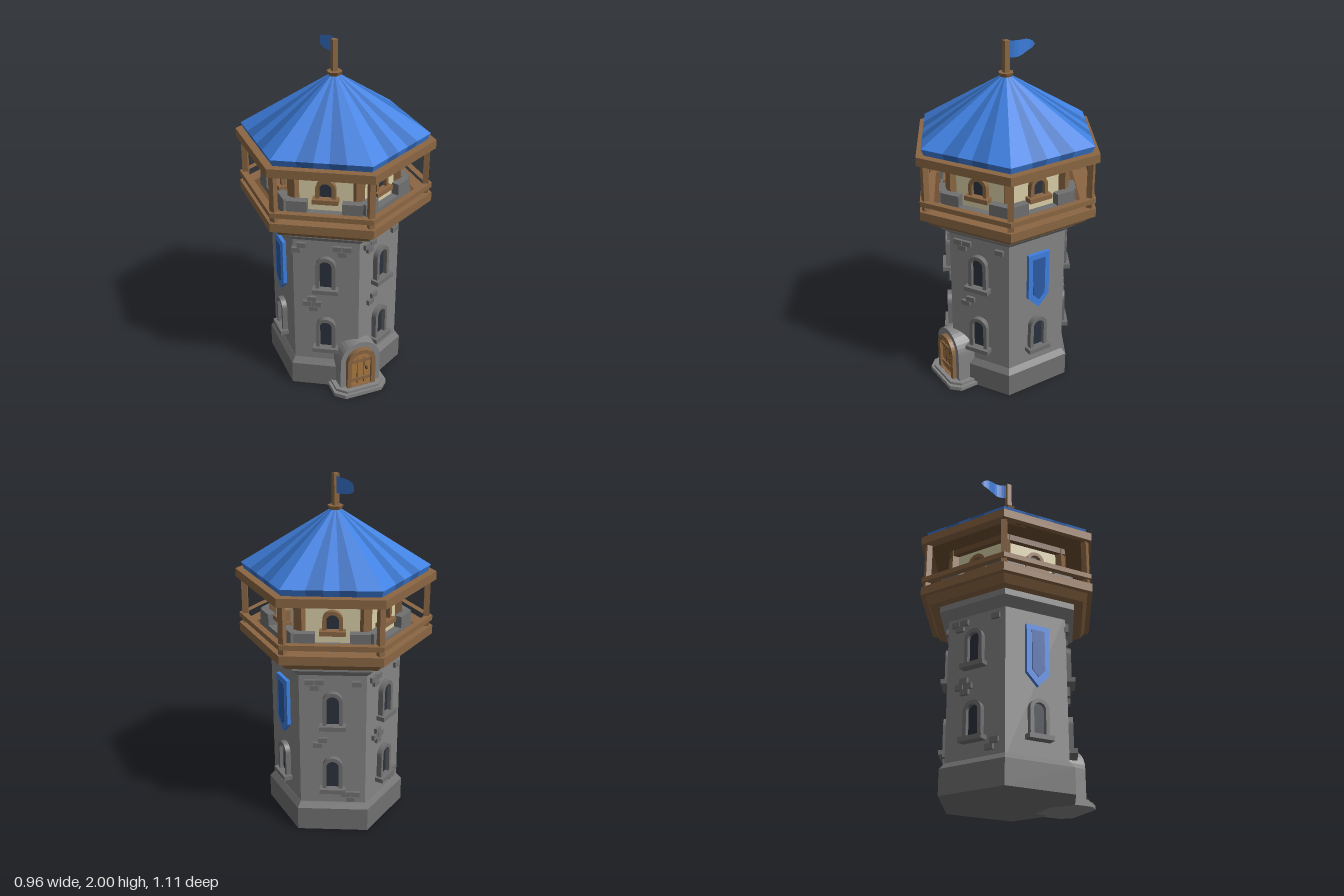
import * as THREE from 'three';

const mat = (color, side = THREE.FrontSide) => new THREE.MeshStandardMaterial({ color, side, flatShading: true });
const M = {
  stone: mat(0x848484), darkStone: mat(0x707070), wood: mat(0x8a6643), darkWood: mat(0x6e4f33),
  door: mat(0xa87840), cream: mat(0xd8cea6), glass: mat(0x2b323e), metal: mat(0x4a3a2a),
  blue: mat(0x3f80e0), midBlue: mat(0x346cbc), navy: mat(0x2c5ba4), flag: mat(0x3b7bd8, THREE.DoubleSide),
};
const C30 = Math.cos(Math.PI / 6);

function add(parent, name, geo, material, x = 0, y = 0, z = 0) {
  const m = new THREE.Mesh(geo, material);
  m.name = name;
  m.position.set(x, y, z);
  parent.add(m);
  return m;
}
const box = (p, name, w, h, d, m, x, y, z) => add(p, name, new THREE.BoxGeometry(w, h, d), m, x, y, z);

// Solid hexagonal slab, sizes given from the axis to the flat sides
function hex(p, name, bottom, top, y0, y1, m) {
  return add(p, name, new THREE.CylinderGeometry(top / C30, bottom / C30, y1 - y0, 6), m, 0, (y0 + y1) / 2, 0);
}

function hexPath(apothem, Type) {
  const s = new Type();
  for (let i = 0; i < 6; i++) {
    const a = i * Math.PI / 3, r = apothem / C30;
    s[i ? 'lineTo' : 'moveTo'](Math.sin(a) * r, Math.cos(a) * r);
  }
  s.closePath();
  return s;
}
function hexRing(p, name, outer, inner, y0, y1, m) {
  const s = hexPath(outer, THREE.Shape);
  s.holes.push(hexPath(inner, THREE.Path));
  const g = new THREE.ExtrudeGeometry(s, { depth: y1 - y0, bevelEnabled: false });
  return add(p, name, g.rotateX(-Math.PI / 2), m, 0, y0, 0);
}

// Round-topped outline standing on y = 0
function archPath(w, h, Type, y0 = 0) {
  const s = new Type();
  s.moveTo(-w, y0);
  s.lineTo(w, y0);
  s.lineTo(w, h - w);
  s.absarc(0, h - w, w, 0, Math.PI, false);
  s.closePath();
  return s;
}
function arch(p, name, w, h, depth, m, y, z, hole) {
  const s = archPath(w, h, THREE.Shape);
  if (hole) s.holes.push(archPath(hole, h - w + hole, THREE.Path, 0.004));
  const g = new THREE.ExtrudeGeometry(s, { depth, bevelEnabled: false, curveSegments: 8 });
  return add(p, name, g, m, 0, y, z);
}

function archWindow(p, name, y, z, w, h, m) {
  const g = new THREE.Group();
  g.name = name;
  g.position.set(0, y, z);
  p.add(g);
  arch(g, 'windowFrame', w, h, 0.04, m, 0, -0.01, w * 0.62);
  arch(g, 'windowGlass', w * 0.7, h - w * 0.3, 0.012, M.glass, 0, -0.005);
  box(g, 'windowSill', w * 2.6, 0.026, 0.06, m, 0, 0.005, 0.02);
}

// Raised bricks: 1 = single, 2 = pair, 3 = two over one, 4 = cross
function bricks(p, u, y, kind) {
  const layouts = {
    1: [[0, 0]], 2: [[0.015, 0.016], [-0.015, -0.016]],
    3: [[-0.027, 0.016], [0.027, 0.016], [0, -0.016]],
    4: [[0, 0.032], [-0.027, 0], [0.027, 0], [0.008, -0.032]],
  };
  for (const [dx, dy] of layouts[kind]) box(p, 'raisedBrick', 0.05, 0.03, 0.03, M.darkStone, u + dx, y + dy, 0.322);
}

function banner(p) {
  const pennant = (name, w, top, side, tip, depth, m) => {
    const s = new THREE.Shape([[-w, top], [-w, side], [0, tip], [w, side], [w, top]].map(a => new THREE.Vector2(...a)));
    add(p, name, new THREE.ExtrudeGeometry(s, { depth, bevelEnabled: false }), m, 0, 0, 0.315);
  };
  pennant('banner', 0.068, 0.89, 0.615, 0.545, 0.026, M.blue);
  pennant('bannerPanel', 0.038, 0.86, 0.635, 0.595, 0.03, M.navy);
}

// Striped hexagonal roof with a short eave band
function roof(p) {
  const fractions = [0, 0.25, 0.42, 0.58, 0.75, 1];
  const lists = [[], []];
  const corner = (i, r, y) => new THREE.Vector3(Math.sin(i * Math.PI / 3) * r, y, Math.cos(i * Math.PI / 3) * r);
  for (let i = 0; i < 6; i++) for (let k = 0; k < 5; k++) {
    const at = (f, r, y) => corner(i, r, y).lerp(corner(i + 1, r, y), f);
    const levels = [[0.505, 1.465], [0.522, 1.505], [0.015, 1.82]];
    for (let l = 0; l < 2; l++) {
      const a = at(fractions[k], ...levels[l]), b = at(fractions[k + 1], ...levels[l]);
      const c = at(fractions[k + 1], ...levels[l + 1]), d = at(fractions[k], ...levels[l + 1]);
      for (const v of [a, b, c, a, c, d]) lists[k % 2].push(v.x, v.y, v.z);
    }
  }
  lists.forEach((list, i) => {
    const g = new THREE.BufferGeometry();
    g.setAttribute('position', new THREE.Float32BufferAttribute(list, 3));
    g.computeVertexNormals();
    add(p, i ? 'roofDarkStripes' : 'roofLightStripes', g, i ? M.midBlue : M.blue);
  });
}

// Waving pointed flag trailing to the back
function flag(p) {
  const g = new THREE.PlaneGeometry(1, 1, 12, 2), pos = g.attributes.position;
  for (let i = 0; i < pos.count; i++) {
    const t = pos.getX(i) + 0.5, half = 0.046 * Math.sqrt(Math.max(0, 1 - t ** 2.2));
    pos.setXYZ(i, 0.018 * Math.sin(t * 5.6) * (1 - 0.2 * t), 1.95 + pos.getY(i) * 2 * half, -0.012 - 0.178 * t);
  }
  g.computeVertexNormals();
  add(p, 'flag', g, M.flag);
}

function doorway(p) {
  const step = (w, front, y0, y1) => {
    const s = new THREE.Shape([[-w, -0.3], [-w, -front + 0.05], [-w + 0.05, -front], [w - 0.05, -front], [w, -front + 0.05], [w, -0.3]]
      .map(a => new THREE.Vector2(...a)));
    const g = new THREE.ExtrudeGeometry(s, { depth: y1 - y0, bevelEnabled: false });
    add(p, 'doorStep', g.rotateX(-Math.PI / 2), M.stone, 0, y0, 0);
  };
  step(0.163, 0.465, 0, 0.024);
  step(0.148, 0.452, 0.024, 0.04);
  arch(p, 'doorSurround', 0.122, 0.335, 0.16, M.stone, 0, 0.225);
  arch(p, 'doorSurroundRim', 0.122, 0.3, 0.022, M.stone, 0.035, 0.383, 0.09);
  arch(p, 'doorFrame', 0.087, 0.257, 0.045, M.wood, 0.038, 0.382, 0.062);
  arch(p, 'door', 0.066, 0.236, 0.025, M.door, 0.038, 0.384);
  for (const x of [-0.021, 0.021]) box(p, 'plankGap', 0.004, 0.18, 0.004, M.metal, x, 0.14, 0.409);
  for (const y of [0.085, 0.215]) box(p, 'doorBrace', 0.118, 0.022, 0.012, M.wood, 0, y, 0.411);
  add(p, 'doorKnob', new THREE.SphereGeometry(0.01, 8, 6), M.metal, 0.036, 0.155, 0.416);
}

export function createModel() {
  const tower = new THREE.Group();
  tower.name = 'watchtower';

  // Stone shaft
  hex(tower, 'base', 0.347, 0.347, 0, 0.14, M.darkStone);
  hex(tower, 'baseChamfer', 0.347, 0.322, 0.14, 0.172, M.darkStone);
  hex(tower, 'shaft', 0.32, 0.32, 0.15, 1.0, M.stone);
  hex(tower, 'shaftFlare', 0.32, 0.37, 0.975, 1.02, M.stone);
  hex(tower, 'shaftCap', 0.37, 0.37, 1.02, 1.06, M.stone);

  // Balcony
  hex(tower, 'balconyUnderside', 0.42, 0.445, 1.055, 1.1, M.wood);
  hexRing(tower, 'balconyEdge', 0.472, 0.4, 1.1, 1.15, M.wood);
  hex(tower, 'balconyFloor', 0.44, 0.44, 1.1, 1.135, M.darkWood);
  hexRing(tower, 'railing', 0.47, 0.435, 1.182, 1.21, M.wood);
  hexRing(tower, 'parapet', 0.37, 0.325, 1.13, 1.17, M.darkStone);

  // Upper room and roof supports
  hex(tower, 'roomWalls', 0.3, 0.3, 1.13, 1.42, M.cream);
  hexRing(tower, 'roomTopBeam', 0.33, 0.29, 1.385, 1.425, M.darkWood);
  hex(tower, 'ceiling', 0.45, 0.45, 1.42, 1.465, M.darkWood);
  hexRing(tower, 'eaveBeam', 0.48, 0.425, 1.42, 1.468, M.wood);

  // Brick clusters for each side: [offset, height, kind]
  const clusters = [
    [[-0.1, 0.92, 3], [0.13, 0.93, 1], [-0.07, 0.565, 2]],
    [],
    [[-0.1, 0.92, 3], [0.13, 0.93, 1], [-0.07, 0.565, 2], [0.1, 0.215, 3]],
    [[-0.1, 0.92, 3], [0.13, 0.93, 1], [-0.07, 0.565, 4], [0.11, 0.23, 2]],
    [],
    [[0.09, 0.92, 3], [-0.15, 0.93, 2], [-0.08, 0.565, 4]],
  ];
  for (let i = 0; i < 6; i++) {
    const side = new THREE.Group();
    side.name = 'towerSide';
    side.rotation.y = Math.PI / 6 + i * Math.PI / 3;
    tower.add(side);
    archWindow(side, 'lowerWindow', 0.262, 0.32, 0.056, 0.212, M.darkStone);
    if (i % 3 === 1) banner(side);
    else archWindow(side, 'upperWindow', 0.665, 0.32, 0.056, 0.215, M.darkStone);
    archWindow(side, 'roomWindow', 1.222, 0.3, 0.054, 0.125, M.wood);
    for (const [u, y, kind] of clusters[i]) bricks(side, u, y, kind);
    for (const s of [-1, 1]) box(side, 'merlon', 0.11, 0.1, 0.045, M.darkStone, s * 0.148, 1.185, 0.3475);

    // Posts on the corners
    const corner = new THREE.Group();
    corner.name = 'towerCorner';
    corner.rotation.y = i * Math.PI / 3;
    tower.add(corner);
    box(corner, 'balconyPost', 0.032, 0.3, 0.032, M.wood, 0, 1.28, 0.508);
    box(corner, 'roomPost', 0.05, 0.28, 0.05, M.wood, 0, 1.28, 0.345);
  }

  // Roof, finial and flag
  roof(tower);
  hex(tower, 'finialCollar', 0.03, 0.038, 1.808, 1.83, M.wood);
  box(tower, 'flagPole', 0.03, 0.19, 0.03, M.wood, 0, 1.905, 0);
  flag(tower);
  doorway(tower);
  return tower;
}
